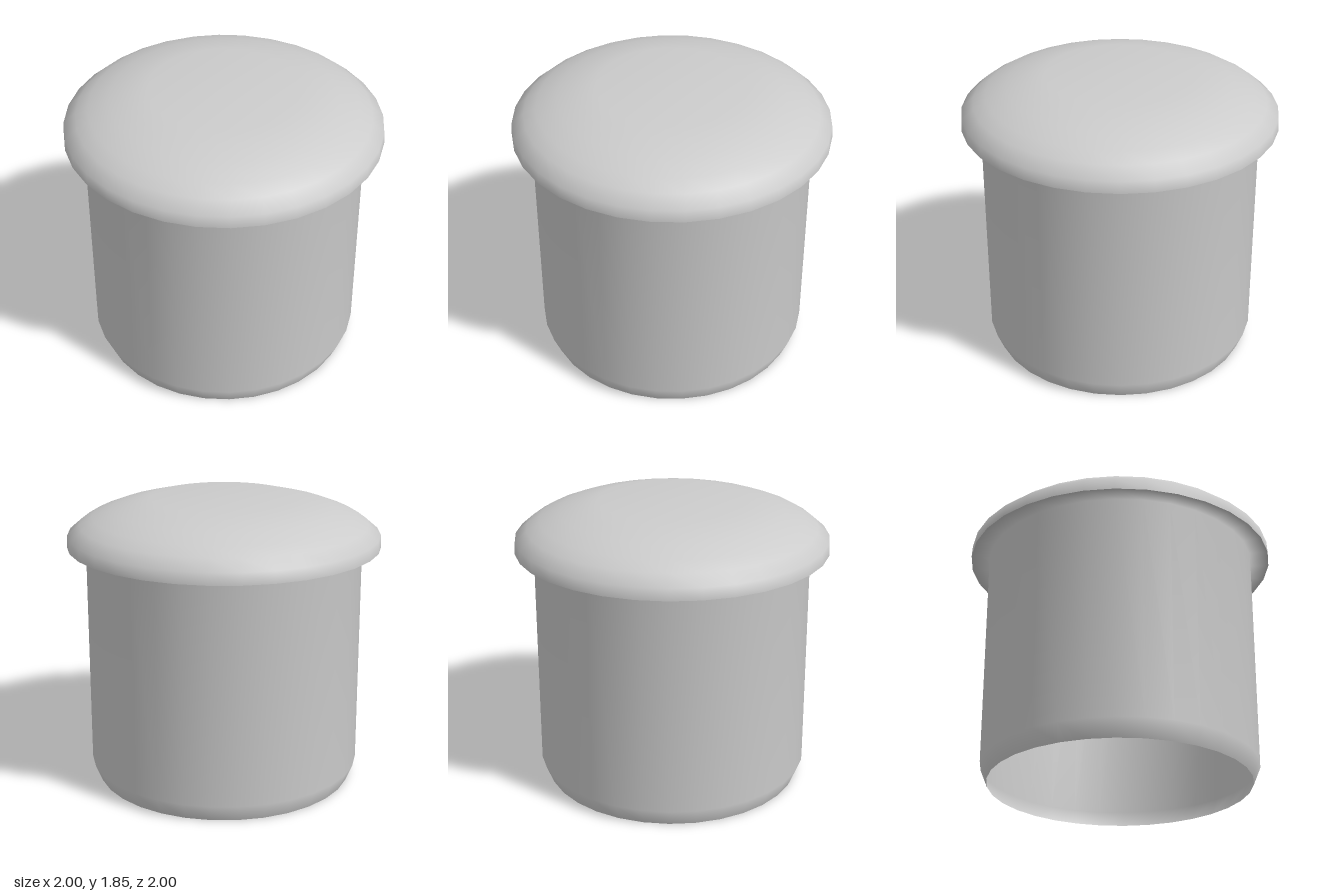
import * as THREE from 'three';

const SIDES = 32;

// Thin open shell turned around the y axis; profile runs from bottom to top
function turned(name, profile) {
  const points = profile.map(([r, y]) => new THREE.Vector2(r, y));
  const material = new THREE.MeshStandardMaterial({ color: 0xcccccc, side: THREE.DoubleSide });
  const mesh = new THREE.Mesh(new THREE.LatheGeometry(points, SIDES), material);
  mesh.name = name;
  return mesh;
}

export function createModel() {
  const group = new THREE.Group();
  group.name = 'plug';

  // Hollow sleeve, open below, with a tapered lead-in and the flange underside
  group.add(turned('sleeve', [
    [0.835, 0], [0.88, 0.11], [0.88, 1.55], [1, 1.55],
  ]));

  // Domed head with a short rim and a flat crown
  group.add(turned('head', [
    [1, 1.55], [0.995, 1.625], [0.92, 1.69], [0.84, 1.738],
    [0.71, 1.788], [0.47, 1.85], [0, 1.85],
  ]));

  return group;
}
